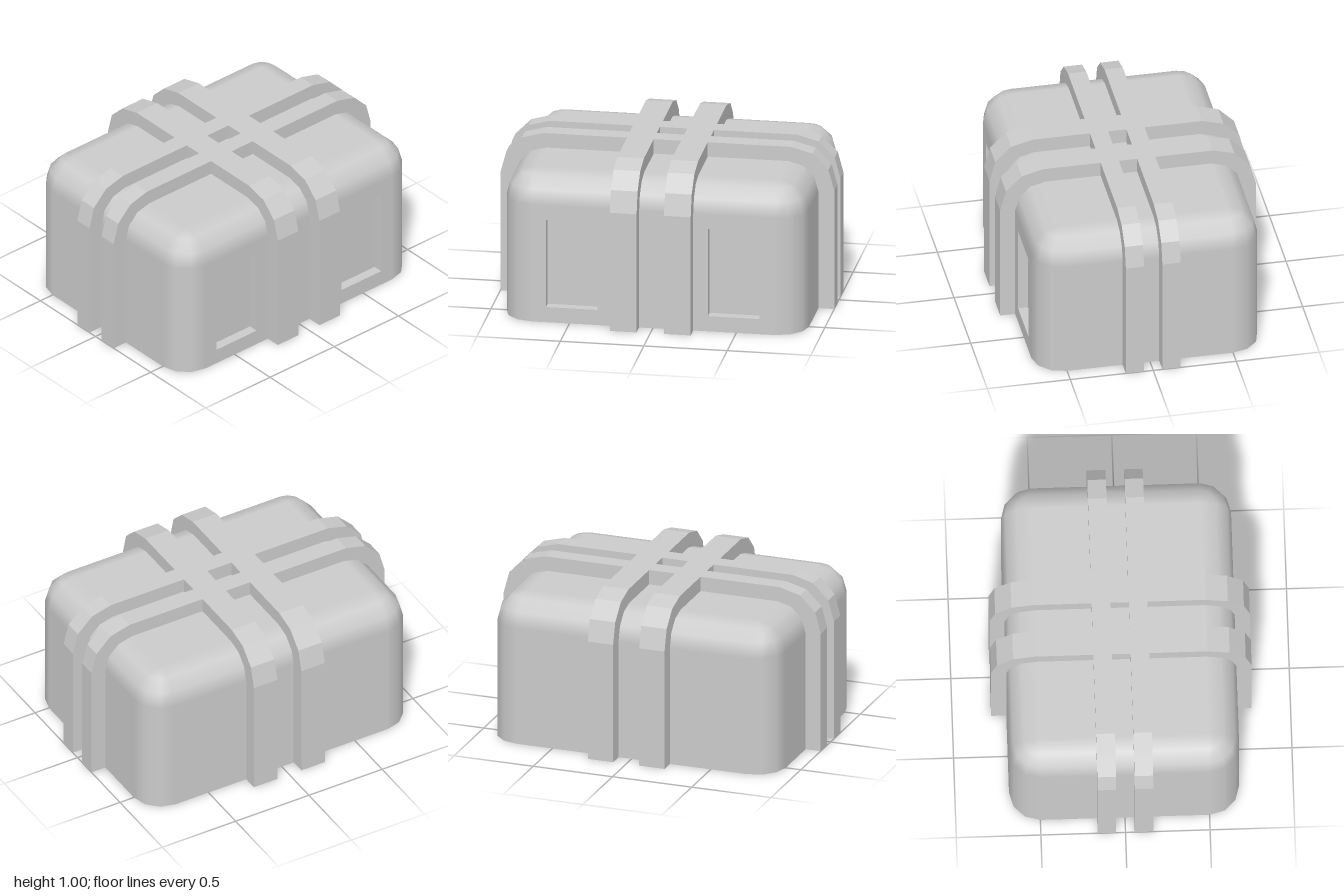
import * as THREE from 'three';

const STEPS = 3; // facets per rounded corner
const BODY = { x: 0.905, z: 0.68, top: 0.91, r: 0.18 };
const BAND_R = 0.26, INNER = 0.12;
const RECESS = 0.06;

// Points of an arch from the right foot over the top to the left foot
function archPoints(half, top, r) {
  const pts = [new THREE.Vector2(half, 0)];
  for (const side of [0, 1]) {
    for (let k = 0; k <= STEPS; k++) {
      const a = (side + k / STEPS) * Math.PI / 2;
      pts.push(new THREE.Vector2((side ? -1 : 1) * (half - r) + r * Math.cos(a), top - r + r * Math.sin(a)));
    }
  }
  pts.push(new THREE.Vector2(-half, 0));
  return pts;
}

// Faceted arch-shaped strap, lying in the xy plane and centred on z = 0
function bandGeometry(half, width) {
  const outer = archPoints(half, 1, BAND_R);
  const inner = archPoints(half - INNER, 1 - INNER, BAND_R - INNER).reverse();
  const geo = new THREE.ExtrudeGeometry(new THREE.Shape([...outer, ...inner]), { depth: width, bevelEnabled: false });
  return geo.translate(0, 0, -width / 2);
}

// Rounded-rectangle outline: four corners, each with its centre and direction
function bodyOutline() {
  const out = [];
  for (let q = 0; q < 4; q++) {
    const cx = (q === 0 || q === 3 ? 1 : -1) * (BODY.x - BODY.r);
    const cz = (q < 2 ? 1 : -1) * (BODY.z - BODY.r);
    for (let k = 0; k <= STEPS; k++) {
      const a = (q + k / STEPS) * Math.PI / 2;
      out.push({ cx, cz, dx: Math.cos(a), dz: Math.sin(a) });
    }
  }
  return out;
}

// Walls, rounded shoulders and flat top, leaving the flat front open for the panel
function shellGeometry(outline) {
  const pos = [], nor = [], idx = [], n = outline.length;
  for (let i = 0; i <= STEPS + 1; i++) {
    const lat = Math.max(0, i - 1) / STEPS * Math.PI / 2;
    const c = Math.cos(lat), s = Math.sin(lat);
    const y = i === 0 ? 0 : BODY.top - BODY.r + BODY.r * s;
    for (const p of outline) {
      pos.push(p.cx + BODY.r * c * p.dx, y, p.cz + BODY.r * c * p.dz);
      nor.push(c * p.dx, s, c * p.dz);
    }
  }
  for (let i = 0; i <= STEPS; i++) {
    for (let j = 0; j < n; j++) {
      if (i === 0 && j === STEPS) continue; // front opening
      const a = i * n + j, b = i * n + (j + 1) % n;
      idx.push(a, a + n, b, b, a + n, b + n);
    }
  }
  const t = (STEPS + 1) * n, m = STEPS + 1;
  idx.push(t, t + 2 * m, t + m, t, t + 3 * m, t + 2 * m);
  const geo = new THREE.BufferGeometry();
  geo.setAttribute('position', new THREE.Float32BufferAttribute(pos, 3));
  geo.setAttribute('normal', new THREE.Float32BufferAttribute(nor, 3));
  geo.setIndex(idx);
  return geo;
}

function rectPoints(x0, x1, y0, y1) {
  return [[x0, y0], [x1, y0], [x1, y1], [x0, y1]].map(([x, y]) => new THREE.Vector2(x, y));
}

export function createModel() {
  const group = new THREE.Group();
  const mat = new THREE.MeshStandardMaterial({ color: 0xcccccc });
  const add = (name, geo) => {
    const mesh = new THREE.Mesh(geo, mat);
    mesh.name = name;
    group.add(mesh);
    return mesh;
  };

  // Body shell and base
  const outline = bodyOutline();
  add('bodyShell', shellGeometry(outline));
  const basePts = outline.map(p => new THREE.Vector2(p.cx + BODY.r * p.dx, p.cz + BODY.r * p.dz));
  add('base', new THREE.ShapeGeometry(new THREE.Shape(basePts)).rotateX(Math.PI / 2));

  // Front panel with two recessed windows
  const win = { x0: 0.33, x1: 0.64, y0: 0.095, y1: 0.64 };
  const px = BODY.x - BODY.r;
  const panel = new THREE.Shape(rectPoints(-px, px, 0, BODY.top - BODY.r));
  for (const s of [1, -1]) {
    const [x0, x1] = s > 0 ? [win.x0, win.x1] : [-win.x1, -win.x0];
    panel.holes.push(new THREE.Path(rectPoints(x0, x1, win.y0, win.y1)));
    const back = add(s > 0 ? 'leftWindowBack' : 'rightWindowBack',
      new THREE.PlaneGeometry(win.x1 - win.x0, win.y1 - win.y0));
    back.position.set((x0 + x1) / 2, (win.y0 + win.y1) / 2, BODY.z - RECESS);
  }
  add('frontPanel', new THREE.ExtrudeGeometry(panel, { depth: RECESS, bevelEnabled: false }))
    .position.z = BODY.z - RECESS;

  // Crossing pairs of straps
  for (const s of [1, -1]) {
    add(s > 0 ? 'frontSideStrap' : 'backSideStrap', bandGeometry(1, 0.11)).position.z = s * 0.11;
    const strap = add(s > 0 ? 'leftLengthStrap' : 'rightLengthStrap', bandGeometry(0.77, 0.16));
    strap.rotation.y = Math.PI / 2;
    strap.position.x = s * 0.162;
  }
  return group;
}
